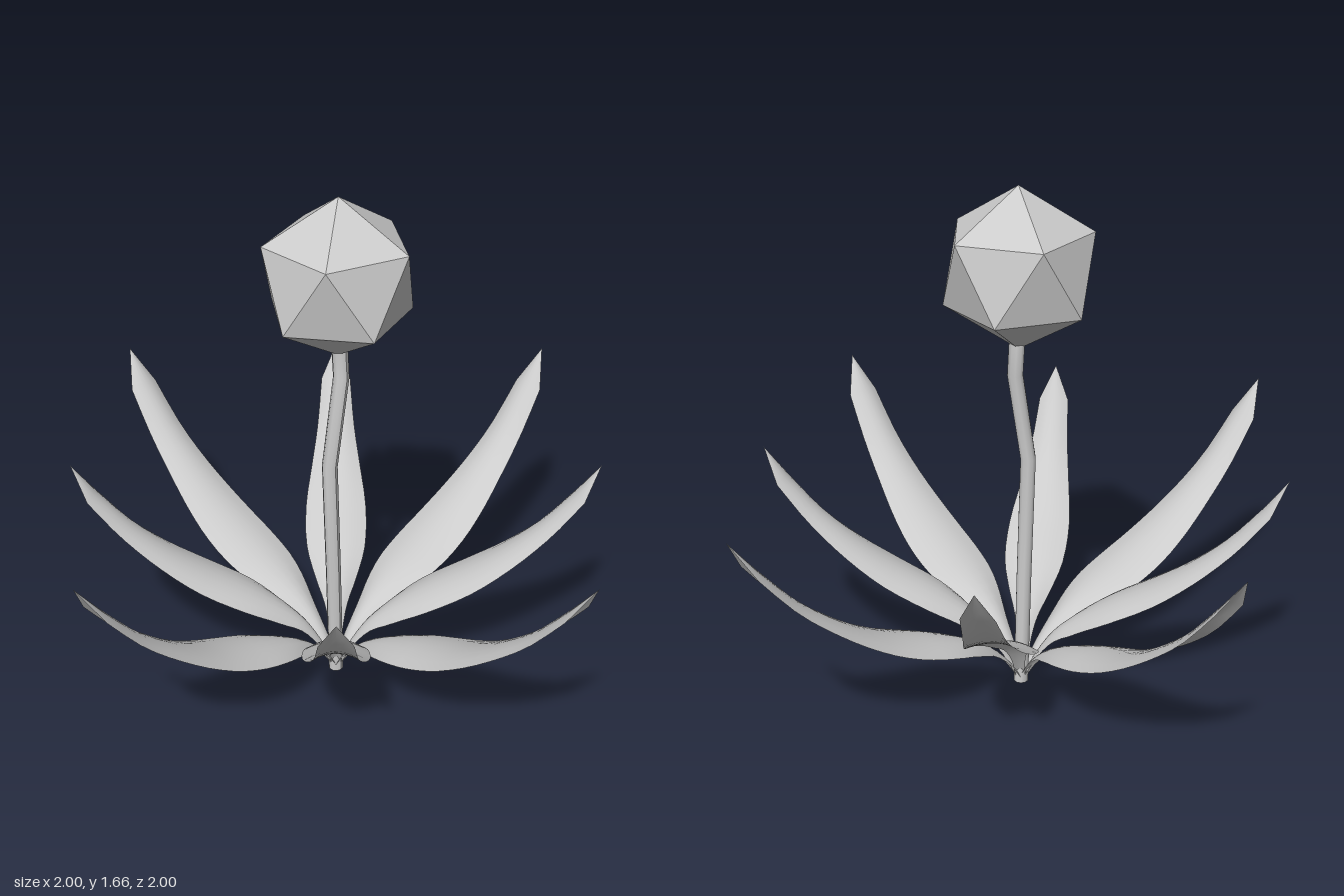
import * as THREE from 'three';

const material = new THREE.MeshStandardMaterial({ color: 0xcccccc });
const leafMaterial = new THREE.MeshStandardMaterial({ color: 0xcccccc, side: THREE.DoubleSide });
const flatMaterial = new THREE.MeshStandardMaterial({ color: 0xcccccc, flatShading: true });

// Leaf stations: [distance from the stem, height, half width]; the last one is the tip
const LONG_LEAF = [
  [0, 0.01, 0.016], [0.05, 0.09, 0.022], [0.12, 0.165, 0.038], [0.2, 0.22, 0.07], [0.3, 0.265, 0.1],
  [0.4, 0.303, 0.111], [0.5, 0.348, 0.108], [0.6, 0.408, 0.096], [0.7, 0.483, 0.08], [0.8, 0.573, 0.066],
  [0.92, 0.715, 0.052], [1, 0.82, 0],
];
const SHORT_LEAF = [
  [0, 0.01, 0.016], [0.05, 0.11, 0.022], [0.1, 0.185, 0.038], [0.17, 0.247, 0.068], [0.27, 0.31, 0.098],
  [0.41, 0.385, 0.102], [0.53, 0.465, 0.084], [0.64, 0.56, 0.064], [0.75, 0.685, 0.05], [0.817, 0.78, 0],
];

// Arched blade growing along +x, its edges drooping below the midrib
function leafGeometry(stations) {
  const points = stations.map((s) => new THREE.Vector3(...s));
  const tip = points.pop();
  const rows = [...new THREE.CatmullRomCurve3(points).getPoints(24), tip];
  const across = 6, positions = [], indices = [];
  rows.forEach((p, i) => {
    const before = rows[Math.max(i - 1, 0)], after = rows[Math.min(i + 1, rows.length - 1)];
    const t = new THREE.Vector2(after.x - before.x, after.y - before.y).normalize();
    const droop = Math.min(0.024, 0.4 * p.z);
    for (let j = 0; j <= across; j++) {
      const s = (j / across) * 2 - 1;
      positions.push(p.x + t.y * droop * s * s, p.y - t.x * droop * s * s, s * p.z);
    }
  });
  const stride = across + 1;
  for (let i = 0; i < rows.length - 1; i++) {
    for (let j = 0; j < across; j++) {
      const a = i * stride + j, b = a + 1, c = a + stride, d = c + 1;
      indices.push(a, b, c);
      if (i < rows.length - 2) indices.push(b, d, c);
    }
  }
  const geometry = new THREE.BufferGeometry();
  geometry.setAttribute('position', new THREE.Float32BufferAttribute(positions, 3));
  geometry.setIndex(indices);
  geometry.computeVertexNormals();
  return geometry;
}

// Round stem whose rings are shifted sideways at each bend
function stemGeometry() {
  const bends = [[0, 0], [0.4, -0.012], [0.79, -0.027], [1.08, 0.022], [1.2, 0.014]];
  const geometry = new THREE.CylinderGeometry(0.025, 0.024, 1, 10, bends.length - 1);
  const pos = geometry.attributes.position;
  for (let i = 0; i < pos.count; i++) {
    const [y, x] = bends[Math.round((pos.getY(i) + 0.5) * (bends.length - 1))];
    pos.setXYZ(i, pos.getX(i) + x, y, pos.getZ(i));
  }
  geometry.computeVertexNormals();
  return geometry;
}

export function createModel() {
  const model = new THREE.Group();
  model.name = 'flower';

  const stem = new THREE.Mesh(stemGeometry(), material);
  stem.name = 'stem';
  model.add(stem);

  // Faceted bloom, standing on one corner
  const bloom = new THREE.Mesh(new THREE.IcosahedronGeometry(0.249, 0), flatMaterial);
  bloom.name = 'bloom';
  bloom.geometry.rotateZ(-Math.atan(2 / (1 + Math.sqrt(5))));
  bloom.position.set(0.009, 1.408, 0);
  model.add(bloom);

  // Eight leaves, long and short in turn
  const shapes = [leafGeometry(LONG_LEAF), leafGeometry(SHORT_LEAF)];
  for (let k = 0; k < 8; k++) {
    const leaf = new THREE.Mesh(shapes[k % 2], leafMaterial);
    leaf.name = k % 2 ? 'shortLeaf' : 'longLeaf';
    leaf.rotation.y = (k * Math.PI) / 4;
    model.add(leaf);
  }
  return model;
}
